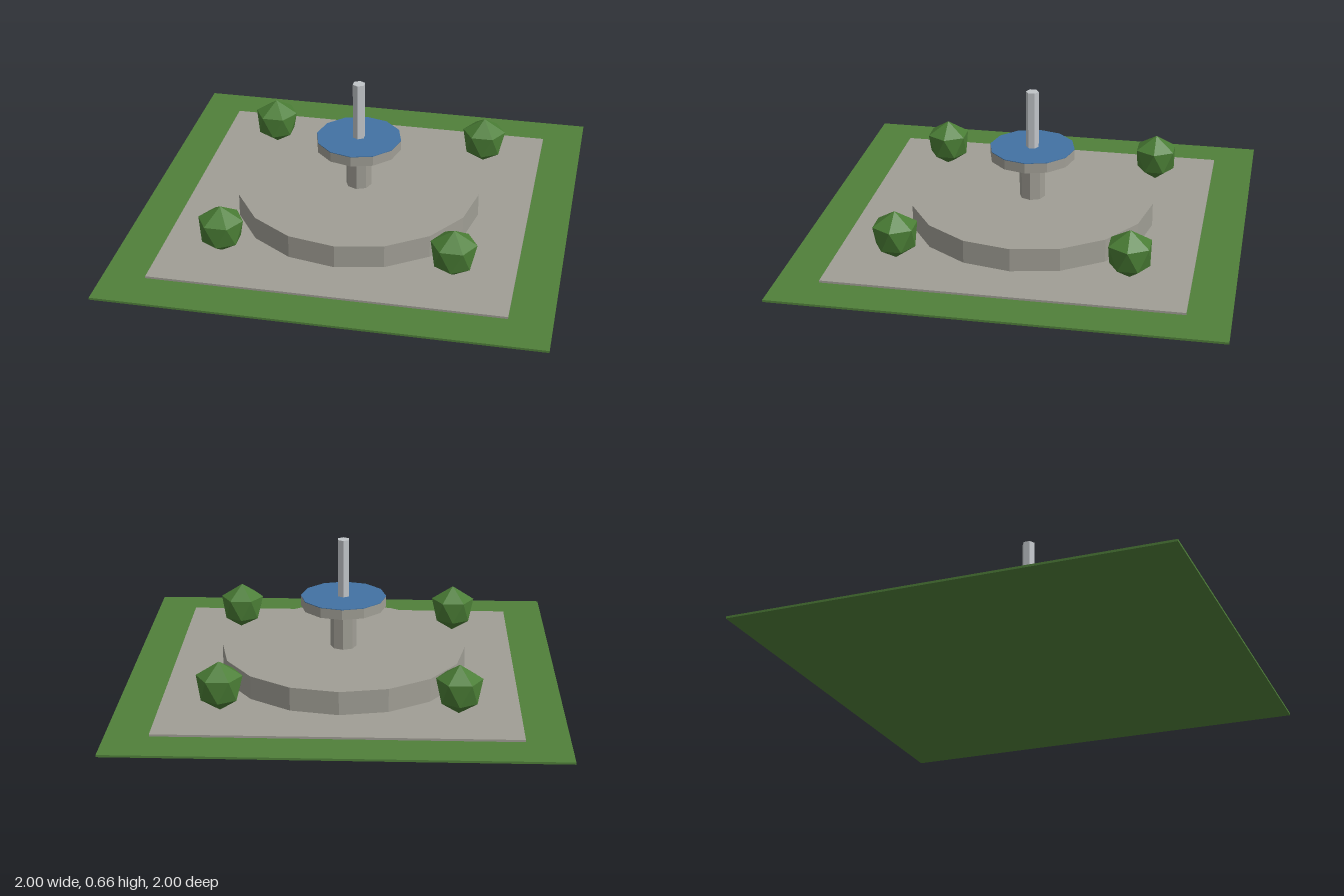
import * as THREE from 'three';

const material = (name, color) => {
  const m = new THREE.MeshStandardMaterial({ color, flatShading: true });
  m.name = name;
  return m;
};

// Six-sided faceted shrub: tip, wide ring, staggered lower ring, foot
function shrubGeometry() {
  const ring = (y, r, offset) => Array.from({ length: 6 }, (_, i) => {
    const a = (i + offset) * Math.PI / 3;
    return [r * Math.cos(a), y, r * Math.sin(a)];
  });
  const upper = ring(0.185, 0.104, 0);
  const lower = ring(0.083, 0.091, 0.5);
  const tip = [0, 0.25, 0], foot = [0, 0.02, 0];
  const points = [];
  for (let i = 0; i < 6; i++) {
    const j = (i + 1) % 6;
    points.push(tip, upper[j], upper[i]);
    points.push(upper[i], upper[j], lower[i]);
    points.push(upper[j], lower[j], lower[i]);
    points.push(lower[i], lower[j], foot);
  }
  const g = new THREE.BufferGeometry();
  g.setAttribute('position', new THREE.Float32BufferAttribute(points.flat(), 3));
  g.computeVertexNormals();
  return g;
}

export function createModel() {
  const model = new THREE.Group();
  model.name = 'fountainPlaza';

  const grass = material('grass', 0x50803a);
  const leaf = material('leaf', 0x4a7d35);
  const stone = material('stone', 0xa09e95);
  const water = material('water', 0x4272a3);
  const spray = material('paleSpout', 0xc0c4c8);

  const add = (name, geometry, mat, x = 0, y = 0, z = 0) => {
    const mesh = new THREE.Mesh(geometry, mat);
    mesh.name = name;
    mesh.position.set(x, y, z);
    model.add(mesh);
    return mesh;
  };
  const slab = (name, size, y0, y1, mat) =>
    add(name, new THREE.BoxGeometry(size, y1 - y0, size), mat, 0, (y0 + y1) / 2);
  const drum = (name, r, sides, y0, y1, mat) =>
    add(name, new THREE.CylinderGeometry(r, r, y1 - y0, sides), mat, 0, (y0 + y1) / 2);

  // Lawn and paving
  slab('lawn', 2, 0, 0.01, grass);
  slab('paving', 1.612, 0.01, 0.02, stone);

  // Fountain tiers
  drum('basin', 0.573, 16, 0.02, 0.13, stone);
  drum('column', 0.061, 8, 0.13, 0.33, stone);
  drum('bowl', 0.2, 12, 0.33, 0.377, stone);
  drum('bowlWater', 0.2, 12, 0.377, 0.38, water);
  drum('spout', 0.03, 6, 0.38, 0.655, spray);

  // Corner shrubs
  const shrub = shrubGeometry();
  for (const x of [-0.53, 0.53])
    for (const z of [-0.53, 0.53]) add('shrub', shrub, leaf, x, 0, z);

  return model;
}
